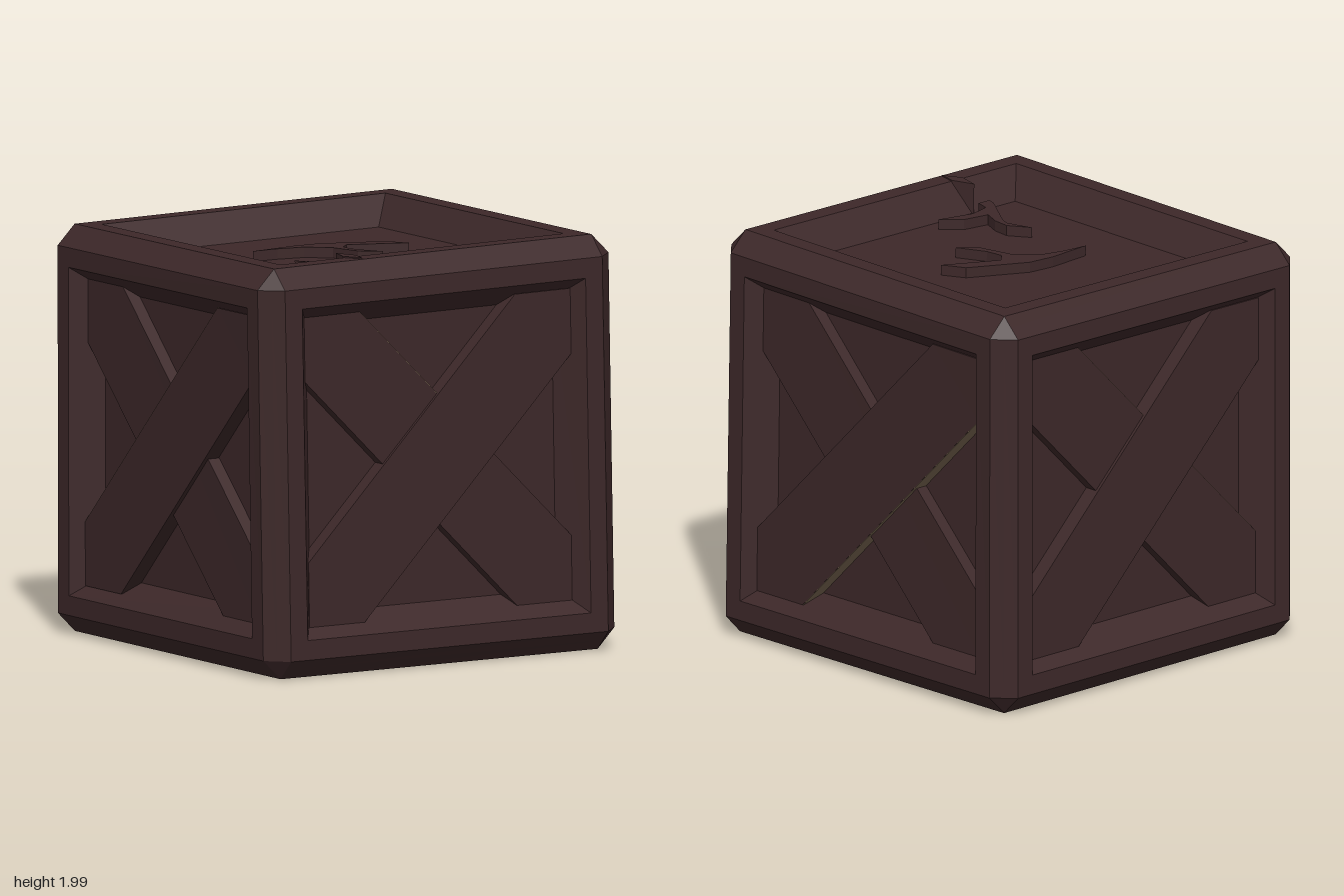
import * as THREE from 'three';

const H = 0.985;      // half size of the crate
const RIM = 0.89;     // flat rim, outside
const OPEN = 0.795;   // flat rim, inside
const FLOOR = 0.69;   // half size of the sunken panel
const DEPTH = 0.14;   // depth of the sunken panel

// Slightly crooked, hand-built shape: front foot kicked out, lid tilted
function warp(geo) {
  const p = geo.attributes.position;
  for (let i = 0; i < p.count; i++) {
    const x = p.getX(i), y = p.getY(i), z = p.getZ(i);
    const low = (H - y) / (2 * H), front = (z + H) / (2 * H);
    p.setXYZ(i,
      x * 0.995 - 0.02 + 0.038 * low * front,
      y + H + (1 - low) * (0.012 * x + 0.01 * z),
      z - 0.005);
  }
  return geo;
}

// One crate side facing +z, made of four turned quarters
function sideGeometry(part) {
  const out = [];
  const quad = (a, b, c, d) => out.push(...a, ...b, ...c, ...a, ...c, ...d);
  const mid = (H + RIM) / 2, tip = (H + 2 * RIM) / 3;
  for (let k = 0; k < 4; k++) {
    const c = Math.round(Math.cos(k * Math.PI / 2)), s = Math.round(Math.sin(k * Math.PI / 2));
    const P = (x, y, z) => [x * c - y * s, x * s + y * c, z];
    const strip = (s0, z0, s1, z1) =>
      quad(P(-s0, -s0, z0), P(s0, -s0, z0), P(s1, -s1, z1), P(-s1, -s1, z1));
    if (part === 'panel') {
      out.push(...P(-FLOOR, -FLOOR, H - DEPTH), ...P(FLOOR, -FLOOR, H - DEPTH), 0, 0, H - DEPTH);
    } else {
      strip(RIM, H, OPEN, H);
      strip(OPEN, H, FLOOR, H - DEPTH);
      // half of the chamfer, then a third of the corner
      quad(P(-RIM, -mid, mid), P(RIM, -mid, mid), P(RIM, -RIM, H), P(-RIM, -RIM, H));
      quad(P(RIM, -RIM, H), P(RIM, -mid, mid), P(tip, -tip, tip), P(mid, -RIM, mid));
    }
  }
  const g = new THREE.BufferGeometry();
  g.setAttribute('position', new THREE.Float32BufferAttribute(out, 3));
  return g;
}

function extrude(points, depth) {
  const shape = new THREE.Shape(points.map(([x, y]) => new THREE.Vector2(x, y)));
  return new THREE.ExtrudeGeometry(shape, { depth, bevelEnabled: false });
}

export function createModel() {
  const crate = new THREE.Group();
  crate.name = 'crate';
  const wood = new THREE.MeshStandardMaterial({ color: 0x3d2829 });
  wood.name = 'dark wood';
  const bare = new THREE.MeshStandardMaterial({ color: 0x7d6a54 });
  bare.name = 'bare wood';

  function add(name, geo, matrix, material) {
    let g = geo.index ? geo.toNonIndexed() : geo;
    g = warp(g.applyMatrix4(matrix));
    g.computeVertexNormals();
    const mesh = new THREE.Mesh(g, material);
    mesh.name = name;
    crate.add(mesh);
  }
  const turn = (x, y) => new THREE.Matrix4().makeRotationFromEuler(new THREE.Euler(x, y, 0));
  const Q = Math.PI / 2;

  // Frame and sunken panel on all six sides
  const sides = {
    front: turn(0, 0), left: turn(0, Q), back: turn(0, 2 * Q), right: turn(0, -Q),
    top: turn(-Q, 0), bottom: turn(Q, 0),
  };
  for (const [name, m] of Object.entries(sides)) {
    add(name + 'Frame', sideGeometry('frame'), m, wood);
    add(name + 'Panel', sideGeometry('panel'), m, wood);
  }

  // Crossed braces on the four upright sides
  const E = 0.745, W = 0.155;
  const hexagon = [[-E, -E], [2 * W - E, -E], [E, E - 2 * W], [E, E], [E - 2 * W, E], [-E, 2 * W - E]];
  // Bare edge strips: which brace, which long edge, and its extent
  const bareEdges = {
    front: { brace: 'lower', edge: -1, half: true },
    back: { brace: 'lower', edge: -1 },
    right: { brace: 'upper', edge: 1 },
    left: { brace: 'upper', edge: -1 },
  };
  for (const [name, strip] of Object.entries(bareEdges)) {
    for (const [brace, angle, height] of [['upper', 0, 0.08], ['lower', Q, 0.065]]) {
      const m = sides[name].clone()
        .multiply(new THREE.Matrix4().makeTranslation(0, 0, H - DEPTH))
        .multiply(new THREE.Matrix4().makeRotationZ(angle));
      add(`${name}${brace === 'upper' ? 'Upper' : 'Lower'}Brace`, extrude(hexagon, height), m, wood);
      if (strip.brace !== brace) continue;
      const full = (E - W) * 2 * Math.SQRT2;
      const length = strip.half ? full / 2 : full;
      const g = new THREE.BoxGeometry(length, 0.004, height - 0.001);
      g.translate(strip.half ? length / 2 : 0, strip.edge * W * Math.SQRT2, height / 2 - 0.0005);
      g.rotateZ(Math.PI / 4);
      add(name + 'BareEdge', g, m, bare);
    }
  }

  // Raised splinters on the lid, outlined as x and z
  const splinters = [
    ['hookSplinter', H - DEPTH, 0.05, [[-0.36, -0.14], [-0.12, -0.165], [0.02, -0.155], [0.31, -0.02],
      [0.37, 0.09], [0.1, -0.04], [0.05, 0.01], [0.06, 0.1], [0.13, 0.24], [0.04, 0.16], [0, 0],
      [-0.1, -0.1], [-0.23, -0.13]]],
    ['forkSplinter', H - DEPTH, 0.05, [[-0.36, 0.23], [-0.29, 0.33], [-0.3, 0.42], [-0.34, 0.51],
      [-0.2, 0.53], [-0.11, 0.61], [-0.3, 0.57], [-0.41, 0.6], [-0.43, 0.67], [-0.5, 0.67],
      [-0.49, 0.63], [-0.34, 0.41], [-0.32, 0.36]]],
    ['rimSplinter', H - DEPTH, DEPTH + 0.006, [[-0.41, 0.68], [-0.37, 0.79], [-0.39, 0.88], [-0.44, 0.79]]],
  ];
  for (const [name, base, height, outline] of splinters) {
    const g = extrude(outline.map(([x, z]) => [x, -z]), height);
    g.translate(0, 0, base);
    add(name, g, sides.top, wood);
  }
  return crate;
}
